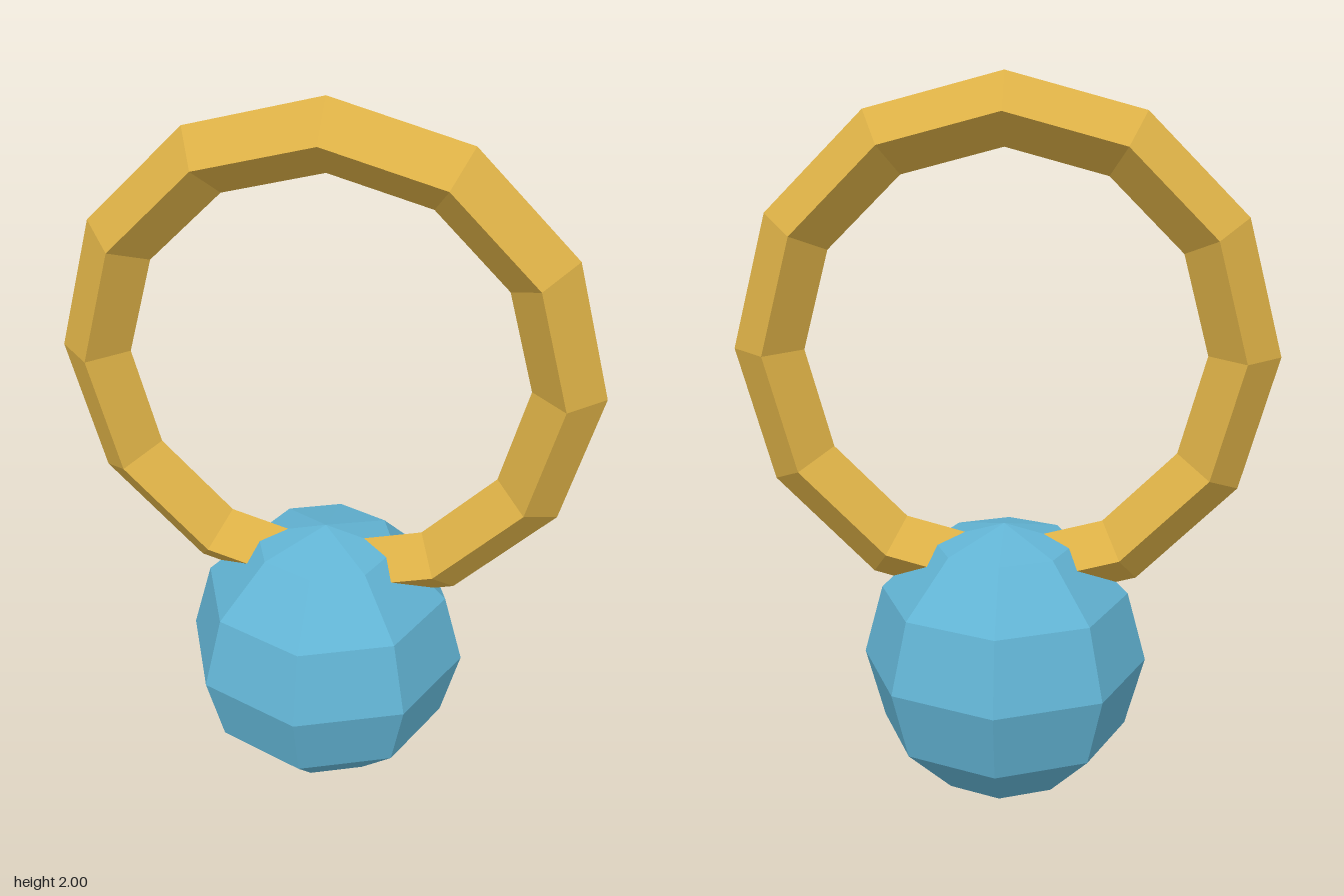
import * as THREE from 'three';

export function createModel() {
  const model = new THREE.Group();

  const gold = new THREE.MeshStandardMaterial({ color: 0xdcb046, flatShading: true });
  gold.name = 'gold';
  const blue = new THREE.MeshStandardMaterial({ color: 0x62b4d4, flatShading: true });
  blue.name = 'blue';

  // Upright twelve-sided band with a diamond cross-section
  const ring = new THREE.Mesh(new THREE.TorusGeometry(0.632, 0.095, 4, 12), gold);
  ring.name = 'ring';
  ring.position.y = 1.273;

  // Faceted ball that swallows the lowest part of the band
  const ball = new THREE.Mesh(new THREE.SphereGeometry(0.396, 8, 6), blue);
  ball.name = 'ball';
  ball.position.y = 0.398;

  model.add(ring, ball);
  return model;
}
